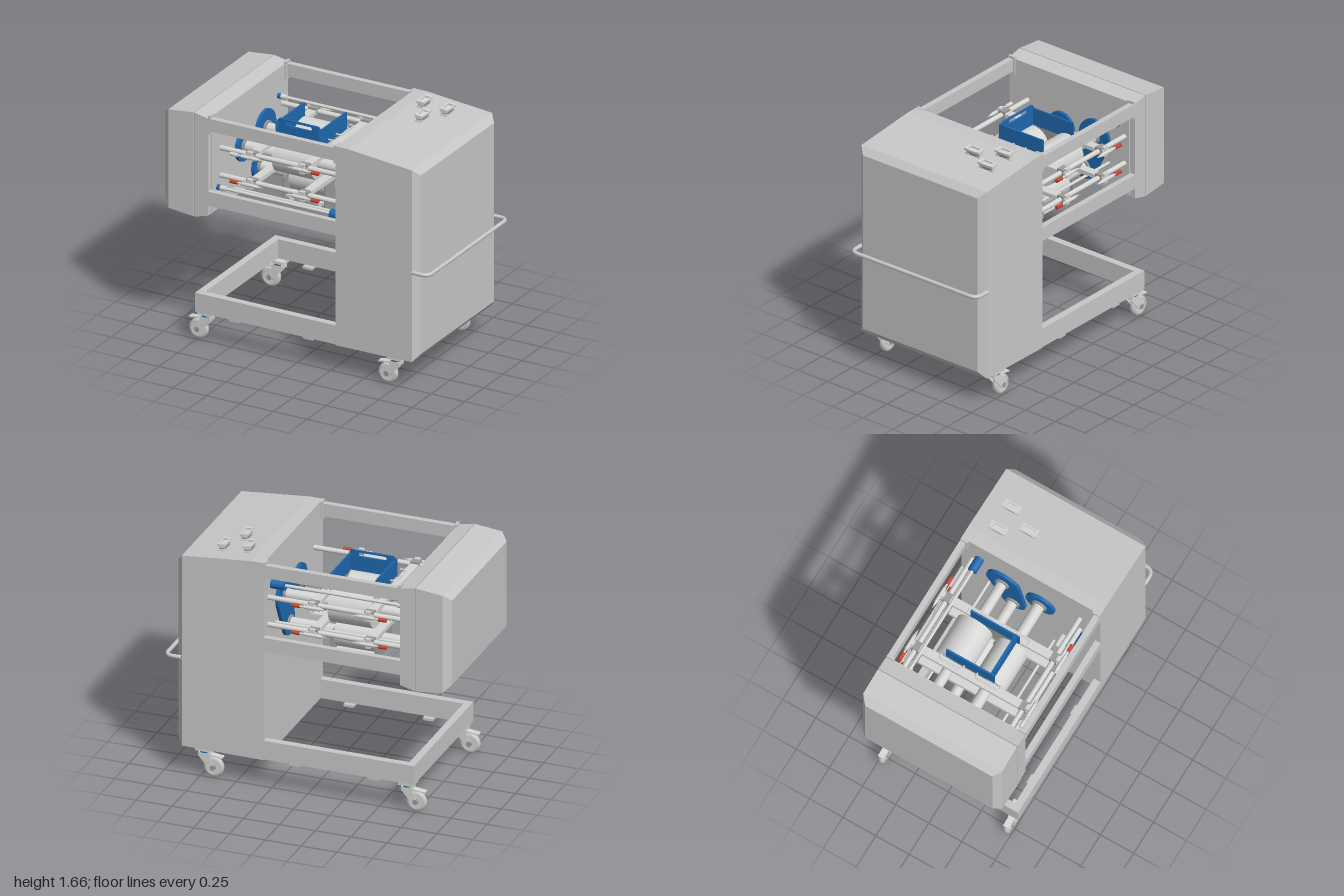
import * as THREE from 'three';

const mat = (name, color, side = THREE.FrontSide) => {
  const m = new THREE.MeshStandardMaterial({ color, side });
  m.name = name;
  return m;
};

export function createModel() {
  const root = new THREE.Group();
  const body = mat('body grey', 0xc8c8c8, THREE.DoubleSide);
  const steel = mat('pale steel', 0xd6d6d4);
  const dark = mat('mid grey', 0x9a9a9a);
  const blue = mat('blue', 0x1f69b0);
  const red = mat('red', 0xc8432a);

  const add = (name, geo, m, x = 0, y = 0, z = 0, parent = root) => {
    const mesh = new THREE.Mesh(geo, m);
    mesh.name = name;
    mesh.position.set(x, y, z);
    parent.add(mesh);
    return mesh;
  };
  // box given by its limits on each axis
  const box = (name, m, x0, x1, y0, y1, z0, z1, parent = root) =>
    add(name, new THREE.BoxGeometry(x1 - x0, y1 - y0, z1 - z0), m, (x0 + x1) / 2, (y0 + y1) / 2, (z0 + z1) / 2, parent);
  // cylinder along x
  const rod = (name, m, x0, x1, y, z, r, parent = root) =>
    add(name, new THREE.CylinderGeometry(r, r, x1 - x0, 28).rotateZ(Math.PI / 2), m, (x0 + x1) / 2, y, z, parent);
  const tube = (name, m, pts, r, parent = root) => {
    const path = new THREE.CurvePath();
    const v = pts.map(p => new THREE.Vector3(...p));
    let from = v[0];
    for (let i = 1; i < v.length - 1; i++) {
      const a = v[i].clone().add(v[i - 1].clone().sub(v[i]).setLength(r * 4));
      const b = v[i].clone().add(v[i + 1].clone().sub(v[i]).setLength(r * 4));
      path.add(new THREE.LineCurve3(from, a));
      path.add(new THREE.QuadraticBezierCurve3(a, v[i], b));
      from = b;
    }
    path.add(new THREE.LineCurve3(from, v[v.length - 1]));
    return add(name, new THREE.TubeGeometry(path, 80, r, 10), m, 0, 0, 0, parent);
  };
  // faceted hull through rectangular sections [x, yLow, yHigh, halfDepth]
  const hull = (name, sections, openBottom) => {
    const pos = [];
    const corners = sections.map(([x, a, b, h]) => [[x, a, h], [x, b, h], [x, b, -h], [x, a, -h]]);
    const quad = (a, b, c, d) => pos.push(...a, ...b, ...c, ...a, ...c, ...d);
    for (let i = 0; i < corners.length - 1; i++) {
      const p = corners[i], q = corners[i + 1];
      for (let k = 0; k < 4; k++) {
        if (k === 3 && openBottom && i < corners.length - 2) continue;
        const n = (k + 1) % 4;
        quad(p[k], q[k], q[n], p[n]);
      }
    }
    const s = corners[0], e = corners[corners.length - 1];
    quad(s[0], s[1], s[2], s[3]);
    quad(e[3], e[2], e[1], e[0]);
    const g = new THREE.BufferGeometry();
    g.setAttribute('position', new THREE.Float32BufferAttribute(pos, 3));
    g.computeVertexNormals();
    return add(name, g, body);
  };

  // Housings
  hull('mainCabinet', [[0.3, 0.2, 1.615, 0.525], [0.39, 0.2, 1.615, 0.525], [0.87, 0.205, 1.57, 0.525], [0.91, 0.255, 1.525, 0.48]], true);
  hull('endCover', [[-1, 0.95, 1.555, 0.48], [-0.95, 0.9, 1.6, 0.525], [-0.762, 0.88, 1.62, 0.525]], false);
  hull('coverCollar', [[-0.756, 0.88, 1.62, 0.525], [-0.655, 0.907, 1.6, 0.525]], false);
  box('coverSeam', dark, -0.763, -0.755, 0.885, 1.615, -0.52, 0.52);
  box('innerSidePlate', body, -0.657, -0.648, 0.92, 1.6, -0.48, 0.48);

  // Frame rails and base
  for (const s of [-1, 1]) {
    const span = (a, b) => (s > 0 ? [a, b] : [-b, -a]);
    box('topRail', body, -0.655, 0.3, 1.51, 1.6, ...span(0.485, 0.525));
    box('middleRail', body, -0.655, 0.3, 0.98, 1.08, ...span(0.485, 0.525));
    box('baseRail', body, -0.75, 0.3, 0.205, 0.34, ...span(0.475, 0.525));
    box('cabinetSill', body, 0.3, 0.86, 0.205, 0.23, ...span(0.475, 0.52));
    for (const x of [-0.655, 0.285]) box('cornerBlock', body, x, x + 0.018, 1.49, 1.618, ...span(0.47, 0.524));
    for (const x of [-0.5, 0.055]) box('footPad', body, x, x + 0.07, 0.19, 0.206, ...span(0.44, 0.52));
  }
  box('baseEndRail', body, -0.75, -0.7, 0.205, 0.34, -0.475, 0.475);
  box('baseCrossRail', body, 0.302, 0.34, 0.205, 0.3, -0.475, 0.475);

  // Push handle
  tube('pushHandle', body, [[0.87, 0.84, -0.527], [0.985, 0.84, -0.527], [0.985, 0.84, 0.518], [0.87, 0.84, 0.518]], 0.014);

  // Latch blocks on the cabinet roof
  for (const [x, z] of [[0.465, -0.345], [0.64, -0.345], [0.555, -0.165]]) {
    const g = new THREE.Group();
    g.name = 'roofLatch';
    g.position.set(x, 1.615 - (x - 0.39) * 0.094, z);
    g.rotation.z = -0.094;
    root.add(g);
    box('latchBase', dark, -0.018, 0.018, 0, 0.022, -0.052, 0.052, g);
    box('latchPlate', steel, -0.02, 0.02, 0.022, 0.034, -0.06, 0.06, g);
    for (const s of [-1, 1]) {
      box('latchFoot', steel, -0.022, 0.022, 0, 0.01, s * 0.047 - 0.014, s * 0.047 + 0.014, g);
      box('latchGrip', steel, -0.028, 0.028, 0.032, 0.047, s * 0.05 - 0.011, s * 0.05 + 0.011, g);
    }
    for (const s of [-1, 1]) box('latchRail', steel, s * 0.023 - 0.005, s * 0.023 + 0.005, 0.032, 0.044, -0.05, 0.05, g);
  }

  // Casters
  const forkShape = new THREE.Shape([[-0.018, -0.015], [0.018, -0.018], [0.1, 0.075], [0.1, 0.1], [0.025, 0.1], [0.015, 0.06]].map(p => new THREE.Vector2(...p)));
  const forkGeo = new THREE.ExtrudeGeometry(forkShape, { depth: 0.006, bevelEnabled: false });
  const tyre = new THREE.LatheGeometry([[0.048, -0.02], [0.06, -0.02], [0.068, -0.012], [0.07, 0], [0.068, 0.012], [0.06, 0.02], [0.048, 0.02]].map(p => new THREE.Vector2(...p)), 32).rotateX(Math.PI / 2);
  for (const x of [-0.75, 0.665]) for (const z of [-0.472, 0.472]) {
    const g = new THREE.Group();
    g.name = 'caster';
    g.position.set(x, 0.07, z);
    root.add(g);
    add('tyre', tyre, body, 0, 0, 0, g);
    add('wheelDisc', new THREE.CylinderGeometry(0.05, 0.05, 0.026, 28).rotateX(Math.PI / 2), steel, 0, 0, 0, g);
    add('hub', new THREE.CylinderGeometry(0.018, 0.018, 0.066, 16).rotateX(Math.PI / 2), dark, 0, 0, 0, g);
    add('forkLeg', forkGeo, steel, 0, 0, 0.024, g);
    add('forkLeg', forkGeo, steel, 0, 0, -0.03, g);
    box('forkCrown', steel, 0.02, 0.1, 0.086, 0.1, -0.03, 0.03, g);
    add('swivelRing', new THREE.CylinderGeometry(0.036, 0.036, 0.014, 24), blue, 0.06, 0.107, 0, g);
    box('mountPlate', steel, 0.01, 0.115, 0.114, 0.135, -0.045, 0.045, g);
    box('brakePedal', steel, -0.065, 0.03, 0.075, 0.084, -0.022, 0.022, g).rotation.z = 0.12;
  }

  // Rollers on their shafts
  for (const [y, z, rs, rr] of [[1.24, 0.08, 0.04, 0.115], [1.26, -0.2, 0.036, 0.13], [1.02, -0.12, 0.036, 0.1]]) {
    rod('rollerShaft', steel, -0.648, 0.3, y, z, rs);
    rod('roller', steel, -0.365, -0.07, y, z, rr);
    for (const x of [-0.63, 0.262]) rod('shaftCollar', dark, x, x + 0.018, y, z, rs + 0.014);
  }
  // Blue bearing plates at both ends: one round, one tapered
  const taper = new THREE.Shape();
  const tilt = Math.atan2(-0.24, 0.08), spread = Math.acos(0.035 / 0.253);
  taper.absarc(-0.2, 1.26, 0.125, tilt + spread, tilt - spread + Math.PI * 2, false);
  taper.absarc(-0.12, 1.02, 0.09, tilt - spread, tilt + spread, false);
  const taperGeo = new THREE.ExtrudeGeometry(taper, { depth: 0.022, bevelEnabled: false, curveSegments: 24 }).rotateY(-Math.PI / 2);
  for (const x of [-0.65, 0.275]) {
    rod('roundBearingPlate', blue, x, x + 0.022, 1.24, 0.08, 0.108);
    add('taperedBearingPlate', taperGeo, blue, x + 0.022);
  }

  // Blue carriage with a slotted front plate
  const plate = new THREE.Shape([[-0.375, 1.36], [-0.055, 1.36], [-0.055, 1.49], [-0.07, 1.505], [-0.36, 1.505], [-0.375, 1.49]].map(p => new THREE.Vector2(...p)));
  const slot = new THREE.Path();
  slot.absarc(-0.3, 1.478, 0.014, Math.PI / 2, Math.PI * 1.5, false);
  slot.absarc(-0.13, 1.478, 0.014, -Math.PI / 2, Math.PI / 2, false);
  plate.holes.push(slot);
  add('carriageFront', new THREE.ExtrudeGeometry(plate, { depth: 0.012, bevelEnabled: false }), blue, 0, 0, 0.095);
  for (const x of [-0.377, -0.065]) {
    box('carriageSide', blue, x, x + 0.012, 1.36, 1.48, -0.24, 0.125);
    box('carriageArm', dark, x + 0.001, x + 0.011, 1.2, 1.37, -0.2, 0.07);
  }
  for (const [x, s] of [[-0.377, -1], [-0.053, 1]]) for (const [a, b] of [[-0.27, -0.1], [0.0, 0.18]])
    tube('carriageHandle', steel, [[x, 1.38, a], [x + s * 0.04, 1.38, a], [x + s * 0.04, 1.38, b], [x, 1.38, b]], 0.006);

  // Tray beneath the lower roller
  box('trayFloor', steel, -0.36, -0.07, 0.915, 0.925, -0.22, 0.02);
  for (const x of [-0.375, -0.065]) box('traySide', dark, x, x + 0.012, 0.91, 1.06, -0.24, 0.04);
  for (const x of [-0.33, -0.12]) box('trayHook', steel, x, x + 0.012, 0.89, 0.92, -0.02, 0.03);

  // Guide rods with blue knobs
  for (const [y, z] of [[1.41, -0.385], [1.07, 0.41], [0.95, 0.32]]) {
    rod('guideRod', steel, -0.62, 0.21, y, z, 0.011);
    rod('guideSleeve', steel, -0.625, -0.58, y, z, 0.018);
    rod('guideKnob', blue, 0.2, 0.298, y, z, 0.032);
    rod('guideTip', blue, -0.65, -0.622, y, z, 0.018);
  }
  rod('thinRod', steel, -0.62, 0.19, 1.0, 0.24, 0.01);
  rod('thinRod', steel, -0.65, 0.3, 1.1, -0.31, 0.01);
  box('knobBracket', steel, 0.19, 0.28, 0.905, 0.918, 0.25, 0.36);

  // Clamp rods front and back, with cross bars, clamps and levers
  for (const y of [1.335, 1.14]) {
    for (const s of [-1, 1]) {
      const z = s > 0 ? 0.37 : -0.44;
      rod('clampRod', steel, -0.65, 0.3, y, z, 0.017);
      for (const [x, d] of [[-0.41, -1], [-0.02, 1]]) {
        const g = new THREE.Group();
        g.name = 'clamp';
        g.position.set(x, y, z);
        root.add(g);
        box('clampBlock', dark, -0.032, 0.032, -0.026, 0.026, -0.025, 0.025, g);
        box('clampJaw', steel, -0.018, 0.018, -0.034, 0.034, s * 0.03 - 0.012, s * 0.03 + 0.012, g);
        const zl = s * 0.052;
        rod('clampPin', steel, -0.05, 0.05, 0, zl, 0.012, g);
        const upperLeft = y > 1.2 && d < 0 && s > 0;
        rod('leverArm', steel, ...(d > 0 ? [0.04, 0.085] : [-0.085, -0.04]), 0, zl, 0.007, g);
        rod('leverGrip', upperLeft ? steel : red, ...(d > 0 ? [0.08, 0.135] : [-0.135, -0.08]), 0, zl, 0.013, g);
        const pointer = new THREE.ConeGeometry(0.014, 0.06, 10).rotateZ(d * Math.PI / 2);
        add('pointer', pointer, steel, -d * 0.08, 0, zl, g);
      }
    }
    for (const x of [-0.41, -0.02]) box('crossBar', steel, x - 0.03, x + 0.03, y - 0.014, y + 0.014, -0.48, 0.4);
  }
  return root;
}
